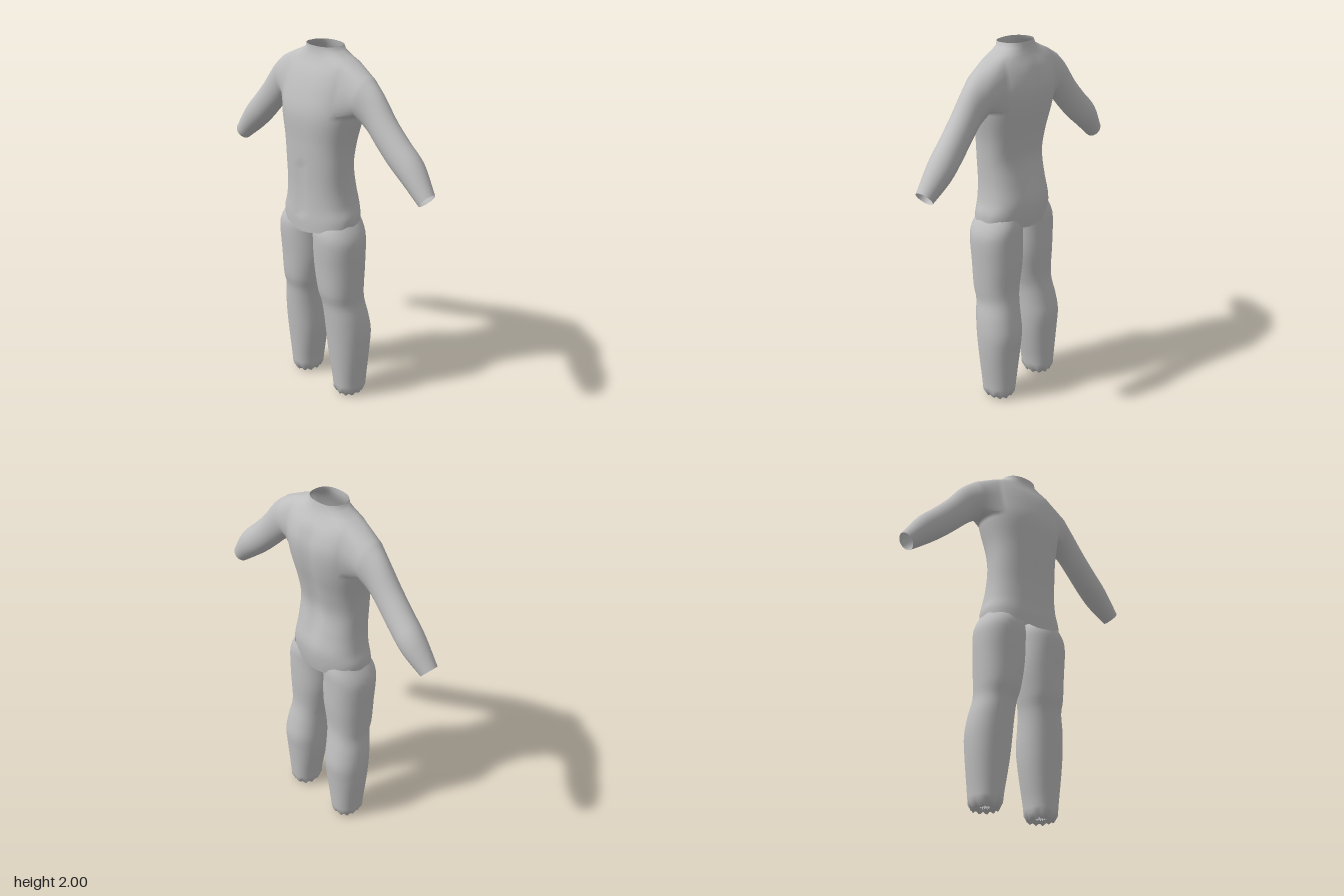
import * as THREE from 'three';

// Smooth interpolation of key rows; the first column is the parameter.
function sample(keys, t) {
  let i = 0;
  while (i < keys.length - 2 && t > keys[i + 1][0]) i++;
  const a = keys[i], b = keys[i + 1];
  const p = keys[Math.max(i - 1, 0)], n = keys[Math.min(i + 2, keys.length - 1)];
  const h = b[0] - a[0], u = Math.min(Math.max((t - a[0]) / h, 0), 1);
  const u2 = u * u, u3 = u2 * u;
  return a.map((v, c) => {
    const m0 = (b[c] - p[c]) / (b[0] - p[0]) * h;
    const m1 = (n[c] - v) / (n[0] - a[0]) * h;
    return (2 * u3 - 3 * u2 + 1) * v + (u3 - 2 * u2 + u) * m0
      + (3 * u2 - 2 * u3) * b[c] + (u3 - u2) * m1;
  });
}

const roundPow = (v, e) => Math.sign(v) * Math.pow(Math.abs(v), e);

function makeGeometry(positions, index) {
  const g = new THREE.BufferGeometry();
  g.setAttribute('position', new THREE.Float32BufferAttribute(positions, 3));
  g.setIndex(index);
  g.computeVertexNormals();
  return g;
}

// Two triangles; flip is used on mirrored parts.
function quad(index, a, b, c, d, flip) {
  if (flip) index.push(a, b, c, b, d, c);
  else index.push(a, c, b, b, c, d);
}

// height, half width, front z, back z
const TORSO = [
  [1.00, 0.240, 0.162, -0.135],
  [1.06, 0.238, 0.163, -0.145],
  [1.15, 0.220, 0.160, -0.150],
  [1.25, 0.206, 0.160, -0.132],
  [1.38, 0.205, 0.165, -0.112],
  [1.50, 0.214, 0.170, -0.130],
  [1.66, 0.245, 0.175, -0.165],
  [1.78, 0.255, 0.148, -0.174],
  [1.87, 0.250, 0.115, -0.150],
  [1.925, 0.230, 0.086, -0.118],
  [1.95, 0.170, 0.076, -0.105],
  [1.97, 0.122, 0.070, -0.098],
  [2.00, 0.105, 0.070, -0.092],
];

// step, upper x, upper y, lower x, lower y, front z, back z
const ARM = [
  [0, 0.315, 1.885, 0.275, 1.66, 0.075, -0.105],
  [1, 0.400, 1.815, 0.345, 1.610, 0.053, -0.088],
  [2, 0.490, 1.705, 0.425, 1.535, 0.050, -0.088],
  [3, 0.580, 1.612, 0.505, 1.462, 0.046, -0.095],
  [4, 0.670, 1.525, 0.600, 1.388, 0.038, -0.100],
  [5, 0.770, 1.385, 0.705, 1.310, 0.024, -0.070],
];

// height, inner x, outer x, front z, back z
const LEG = [
  [0.04, 0.100, 0.265, 0.055, -0.130],
  [0.10, 0.093, 0.270, 0.060, -0.135],
  [0.20, 0.075, 0.281, 0.070, -0.142],
  [0.30, 0.060, 0.290, 0.080, -0.150],
  [0.40, 0.052, 0.293, 0.090, -0.157],
  [0.50, 0.049, 0.283, 0.100, -0.142],
  [0.59, 0.042, 0.265, 0.110, -0.125],
  [0.65, 0.028, 0.268, 0.126, -0.120],
  [0.80, 0.003, 0.275, 0.138, -0.128],
  [0.97, 0.002, 0.277, 0.150, -0.130],
  [1.03, 0.005, 0.255, 0.142, -0.130],
  [1.07, 0.020, 0.230, 0.120, -0.120],
];

// Torso and sleeves as one skin: the sleeves grow from openings in the torso grid.
function suitTop() {
  const N = 48, ROWS = 40, LOW = 27, HIGH = 37, HALF = 5;
  const pos = [], index = [];
  const at = (j, i) => j * N + ((i % N) + N) % N;

  for (let j = 0; j <= ROWS; j++) {
    const y = 1 + j / ROWS;
    const [, w, zf, zb] = sample(TORSO, y);
    for (let i = 0; i < N; i++) {
      const a = i / N * Math.PI * 2, c = Math.cos(a), s = Math.sin(a);
      const x = w * roundPow(c, 0.85);
      let z = (zf + zb) / 2 + (zf - zb) / 2 * roundPow(s, 0.85);
      // spine groove and front seam crease
      const mid = Math.exp(-((x / 0.04) ** 2));
      const spine = THREE.MathUtils.smoothstep(y, 1.08, 1.3) * (1 - THREE.MathUtils.smoothstep(y, 1.8, 1.93));
      if (s < 0) z += 0.016 * mid * spine;
      else if (y > 1.08 && y < 1.4) z -= 0.008 * Math.exp(-((x / 0.012) ** 2));
      // hem rises toward the hips
      const fade = Math.max(0, 1 - (y - 1) / 0.16);
      const lift = 0.058 * Math.pow(Math.abs(c), 1.3) + 0.005 * Math.sin(a * 11) * c * c;
      pos.push(x, y + lift * fade, z);
    }
  }
  const inHole = (j, i) => {
    const o = (i + HALF) % (N / 2);
    return j >= LOW && j < HIGH && o < 2 * HALF;
  };
  for (let j = 0; j < ROWS; j++) for (let i = 0; i < N; i++) {
    if (!inHole(j, i)) quad(index, at(j, i), at(j, i + 1), at(j + 1, i), at(j + 1, i + 1));
  }

  // opening border, from the top middle round the front, bottom and back
  const border = [];
  for (let o = 0; o < HALF; o++) border.push([HIGH, o]);
  for (let j = HIGH; j > LOW; j--) border.push([j, HALF]);
  for (let o = HALF; o > -HALF; o--) border.push([LOW, o]);
  for (let j = LOW; j < HIGH; j++) border.push([j, -HALF]);
  for (let o = -HALF; o < 0; o++) border.push([HIGH, o]);

  const K = border.length, STEPS = 20;
  for (const side of [1, -1]) {
    let ring = border.map(([j, o]) => at(j, side > 0 ? o : N / 2 - o));
    for (let s = 0; s <= STEPS; s++) {
      const [, ux, uy, lx, ly, zf, zb] = sample(ARM, s / STEPS * 5);
      const next = [];
      for (let k = 0; k < K; k++) {
        const a = k / K * Math.PI * 2, c = Math.cos(a);
        next.push(pos.length / 3);
        pos.push(side * ((ux + lx) / 2 + (ux - lx) / 2 * c), (uy + ly) / 2 + (uy - ly) / 2 * c,
          (zf + zb) / 2 + (zf - zb) / 2 * Math.sin(a));
      }
      for (let k = 0; k < K; k++) {
        const n = (k + 1) % K;
        quad(index, ring[k], ring[n], next[k], next[n], side > 0);
      }
      ring = next;
    }
  }
  return makeGeometry(pos, index);
}

// Trouser leg with a ragged, turned-in cuff.
function leg(side) {
  const N = 36, ROWS = 40, pos = [], index = [];
  const addRing = (keyY, scale, yOf) => {
    const [, xi, xo, zf, zb] = sample(LEG, keyY);
    for (let i = 0; i < N; i++) {
      const a = i / N * Math.PI * 2;
      pos.push(side * ((xi + xo) / 2 + (xo - xi) / 2 * scale * roundPow(Math.cos(a), 0.9)), yOf(i),
        (zf + zb) / 2 + (zf - zb) / 2 * scale * roundPow(Math.sin(a), 0.9));
    }
  };
  addRing(0.04, 0.35, (i) => 0.022 + 0.008 * Math.sin(i * 2.6));
  addRing(0.04, 0.8, (i) => 0.008 + 0.008 * Math.sin(i * 1.9));
  for (let j = 0; j <= ROWS; j++) {
    const y = 0.04 + 1.03 * j / ROWS;
    addRing(y, 1, (i) => y + (j ? 0 : 0.008 * Math.sin(i * 1.4)));
  }
  for (let j = 0; j < ROWS + 2; j++) for (let i = 0; i < N; i++) {
    const n = (i + 1) % N;
    quad(index, j * N + i, j * N + n, (j + 1) * N + i, (j + 1) * N + n, side < 0);
  }
  return makeGeometry(pos, index);
}

export function createModel() {
  const group = new THREE.Group();
  group.name = 'bodysuit';
  const fabric = new THREE.MeshStandardMaterial({ color: 0xc0c0c0, side: THREE.DoubleSide });
  fabric.name = 'grey fabric';
  const add = (name, geometry) => {
    const mesh = new THREE.Mesh(geometry, fabric);
    mesh.name = name;
    group.add(mesh);
  };
  add('torsoAndSleeves', suitTop());
  add('leftLeg', leg(1));
  add('rightLeg', leg(-1));
  return group;
}
